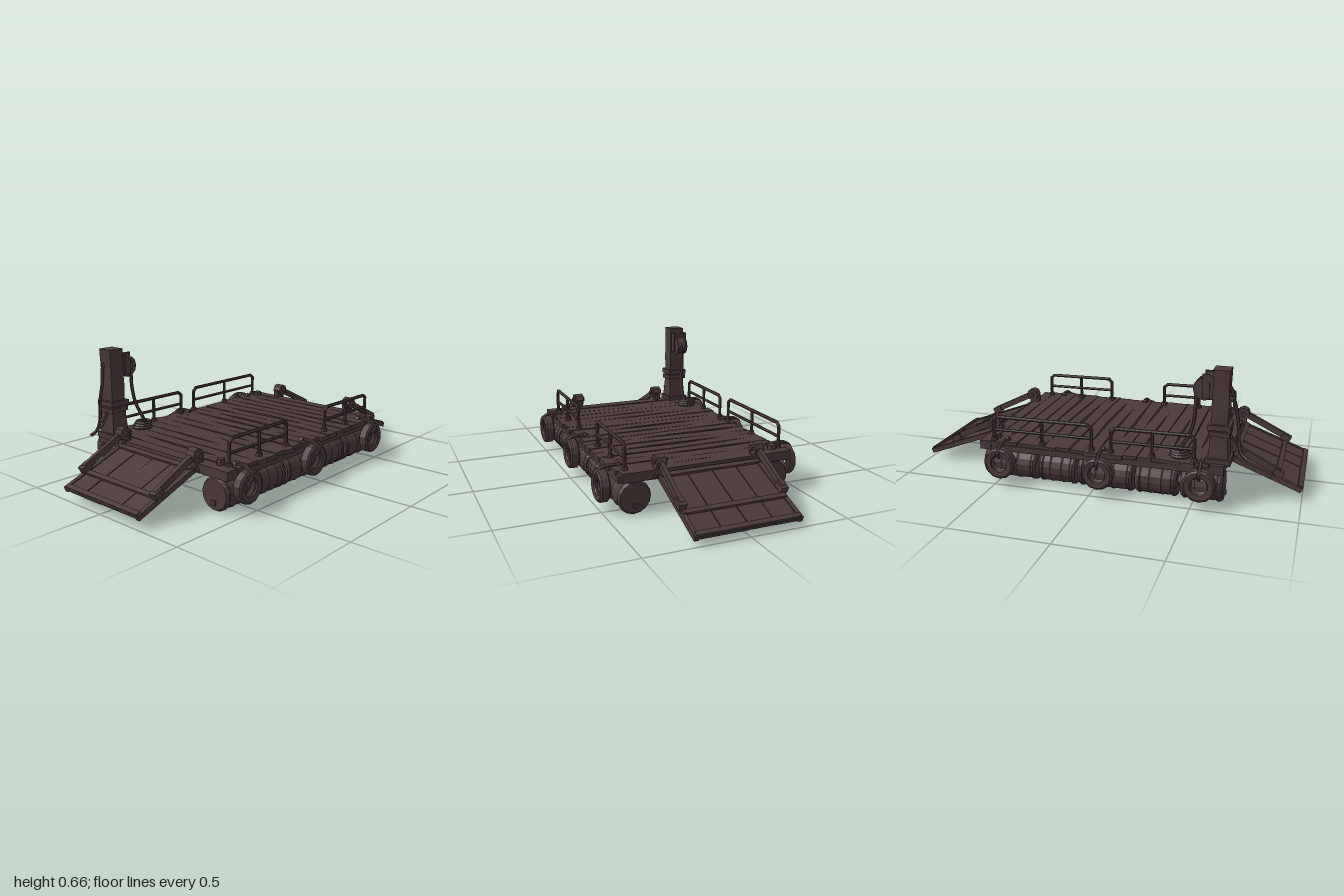
import * as THREE from 'three';

const wood = new THREE.MeshStandardMaterial({ color: 0x4b3939, flatShading: true });
wood.name = 'dark brown';

let seed = 11;
const rand = () => (seed = (seed * 16807) % 2147483647) / 2147483647;
const jitter = (a) => (rand() - 0.5) * 2 * a;
const V = (x, y, z) => new THREE.Vector3(x, y, z);

function add(parent, name, geometry, x = 0, y = 0, z = 0) {
  const m = new THREE.Mesh(geometry, wood);
  m.name = name;
  m.position.set(x, y, z);
  parent.add(m);
  return m;
}
const box = (p, name, w, h, d, x, y, z) => add(p, name, new THREE.BoxGeometry(w, h, d), x, y, z);

// Straight round or square bar between two points
function bar(p, name, a, b, r, sides = 6) {
  const m = add(p, name, new THREE.CylinderGeometry(r, r, a.distanceTo(b), sides));
  m.position.copy(a).add(b).multiplyScalar(0.5);
  m.quaternion.setFromUnitVectors(V(0, 1, 0), b.clone().sub(a).normalize());
  return m;
}
const rope = (p, name, pts, r = 0.008) =>
  add(p, name, new THREE.TubeGeometry(new THREE.CatmullRomCurve3(pts), pts.length * 5, r, 5));

// Worn plank along z: width and side sway vary from section to section
function plank(p, x, width, length, y, thick) {
  const g = new THREE.BoxGeometry(width, thick, length, 1, 1, 6);
  const sway = jitter(0.005), lean = jitter(0.007), pinch = 0.003 + rand() * 0.005, lift = jitter(0.003);
  const pos = g.attributes.position;
  for (let i = 0; i < pos.count; i++) {
    const t = pos.getZ(i) / (length / 2);
    const side = Math.sign(pos.getX(i));
    pos.setX(i, pos.getX(i) - side * pinch * (1 - t * t) + sway * Math.cos(t * 4) + lean * t);
    pos.setY(i, pos.getY(i) + lift * Math.sin(t * 3 + x * 20));
  }
  g.computeVertexNormals();
  add(p, 'deckPlank', g, x, y, jitter(0.012));
}

function buildDeck(root) {
  const deck = new THREE.Group();
  deck.name = 'deck';
  root.add(deck);
  const n = 16, x0 = -0.575, x1 = 0.54, pitch = (x1 - x0) / n;
  for (let i = 0; i < n; i++) plank(deck, x0 + pitch * (i + 0.5), pitch + 0.003, 0.89, 0.2, 0.022);
  // End beams and long bearers
  box(deck, 'endBeam', 0.065, 0.045, 0.9, -0.612, 0.19, 0);
  box(deck, 'endBeam', 0.06, 0.045, 0.88, 0.568, 0.19, -0.01);
  for (const s of [-1, 1]) {
    box(deck, 'sideBeam', 1.2, 0.03, 0.04, -0.02, 0.18, s * 0.425);
    box(deck, 'innerBearer', 1.2, 0.03, 0.03, -0.02, 0.175, s * 0.27);
  }
  // Small deck fittings
  add(deck, 'bollard', new THREE.CylinderGeometry(0.018, 0.022, 0.035, 7), -0.585, 0.225, 0.355);
  add(deck, 'bollard', new THREE.CylinderGeometry(0.022, 0.025, 0.025, 7), 0.535, 0.22, -0.38);
}

// Two rows of floating drums with raised hoops
function buildDrums(root) {
  const spans = [[-0.64, -0.44], [-0.42, -0.215], [-0.2, 0.08], [0.095, 0.29], [0.305, 0.585]];
  for (const s of [-1, 1]) {
    const row = new THREE.Group();
    row.name = 'drumRow';
    root.add(row);
    for (const [a, b] of spans) {
      const L = b - a, profile = [[0, 0], [0.074, 0], [0.082, 0.012], [0.082, 0.022], [0.077, 0.028],
        [0.078, L * 0.32], [0.082, L * 0.36], [0.078, L * 0.4], [0.078, L * 0.62], [0.082, L * 0.66],
        [0.078, L * 0.7], [0.077, L - 0.028], [0.082, L - 0.022], [0.082, L - 0.012], [0.074, L], [0, L]];
      const g = new THREE.LatheGeometry(profile.map(([r, y]) => new THREE.Vector2(r, y)), 16);
      g.rotateZ(-Math.PI / 2);
      add(row, 'drum', g, a, 0.086, s * 0.365).rotation.x = rand();
    }
    bar(row, 'drumAxle', V(-0.63, 0.086, s * 0.365), V(0.58, 0.086, s * 0.365), 0.03);
    for (const x of [-0.643, 0.588]) box(row, 'drumBung', 0.016, 0.022, 0.022, x, 0.05, s * 0.365);
  }
}

// Tyre fenders hung over both long sides
function buildFenders(root) {
  const section = [[0.045, -0.022], [0.07, -0.026], [0.08, -0.018], [0.08, 0.018], [0.07, 0.026],
    [0.045, 0.022], [0.04, 0.014], [0.052, 0], [0.04, -0.014], [0.045, -0.022]];
  for (const s of [-1, 1]) {
    [-0.54, -0.045, 0.465].forEach((x, i) => {
      const z = s * (i === 2 ? 0.488 : 0.477) - (s < 0 ? 0.012 : 0);
      const g = new THREE.LatheGeometry(section.map(([r, y]) => new THREE.Vector2(r, y)), 14);
      g.rotateX(Math.PI / 2);
      add(root, 'tyreFender', g, x, 0.125, z);
      rope(root, 'fenderRope', [V(x, 0.205, s * 0.38), V(x + 0.005, 0.218, s * 0.43), V(x, 0.21, z),
        V(x, 0.18, z + s * 0.033), V(x, 0.155, z + s * 0.015)], 0.009);
      add(root, 'ropeKnot', new THREE.DodecahedronGeometry(0.018), x, 0.213, s * 0.405);
    });
  }
}

// Pipe railing: bent top rail, mid rail and three posts
function railing(root, a, b, z) {
  const g = new THREE.Group();
  g.name = 'railing';
  root.add(g);
  const top = 0.34, r = 0.009, c = 0.02;
  const pts = [V(a, 0.2, z), V(a, top - c, z), V(a + c, top, z), V(b - c, top - 0.004, z), V(b, top - c, z), V(b, 0.2, z)];
  for (let i = 0; i < 5; i++) {
    bar(g, 'railPipe', pts[i], pts[i + 1], r);
    if (i) add(g, 'railBend', new THREE.IcosahedronGeometry(r * 1.1), ...pts[i].toArray());
  }
  const m = (a + b) / 2;
  bar(g, 'midRail', V(a, 0.272, z), V(b, 0.268, z), r * 0.85);
  bar(g, 'midPost', V(m, 0.2, z), V(m, top, z), r);
  for (const x of [a, m, b]) add(g, 'postFoot', new THREE.CylinderGeometry(0.015, 0.018, 0.02, 6), x, 0.217, z);
}

// Lowered loading ramp, built towards +x from its hinge
function ramp(root, side, hingeX, length) {
  const outer = new THREE.Group();
  outer.name = side > 0 ? 'leftRamp' : 'rightRamp';
  outer.rotation.y = side > 0 ? 0 : Math.PI;
  root.add(outer);
  const board = new THREE.Group();
  board.name = 'rampBoard';
  board.position.set(hingeX, 0.185, 0);
  board.rotation.z = -0.36;
  outer.add(board);
  const n = 4, w = 0.5 / n;
  for (let i = 0; i < n; i++)
    box(board, 'rampPlank', length, 0.014, w - 0.004, length / 2, jitter(0.002), -0.25 + w * (i + 0.5)).rotation.y = jitter(0.006);
  for (const t of [0.03, 0.64, 0.965]) box(board, 'rampCleat', 0.025, 0.014, 0.51, length * t, 0.012, 0);
  for (const t of [0.2, 0.75]) box(board, 'rampUnderBatten', 0.03, 0.014, 0.48, length * t, -0.012, 0);
  for (const s of [-1, 1]) {
    const z = s * 0.253;
    box(board, 'rampEdge', length, 0.026, 0.022, length / 2, 0, z);
    // Hinge drum, bracket and folding arm
    const hx = hingeX - 0.008, hy = 0.253;
    bar(outer, 'hingeDrum', V(hx, hy, z - 0.024), V(hx, hy, z + 0.024), 0.034, 8);
    bar(outer, 'hingePin', V(hx, hy, z - 0.036), V(hx, hy, z + 0.036), 0.014, 6);
    box(outer, 'hingeBracket', 0.055, 0.07, 0.032, hx - 0.01, 0.21, z);
    const arm = box(outer, 'rampArm', 0.27, 0.032, 0.02, hx + 0.122, hy - 0.058, z);
    arm.rotation.z = -0.46;
    const block = box(outer, 'armBlock', 0.05, 0.034, 0.036, hx + 0.235, hy - 0.118, z);
    block.rotation.z = -0.46;
  }
  bar(outer, 'hingeRod', V(hingeX - 0.012, 0.18, -0.28), V(hingeX - 0.012, 0.18, 0.28), 0.012);
}

// Mooring mast with pulley, hanging ropes and a coil
function buildMast(root) {
  const mast = new THREE.Group();
  mast.name = 'mast';
  root.add(mast);
  const x = -0.61, z = -0.365;
  const g = new THREE.BoxGeometry(0.078, 0.46, 0.082, 1, 5, 1);
  const pos = g.attributes.position;
  for (let i = 0; i < pos.count; i++) {
    const y = pos.getY(i), k = y < -0.2 ? 1.3 : y < -0.1 ? 1.12 : 1 + 0.04 * Math.sin(y * 30);
    pos.setX(i, pos.getX(i) * k);
    pos.setZ(i, pos.getZ(i) * k);
  }
  g.computeVertexNormals();
  add(mast, 'mastPost', g, x, 0.43, z);
  box(mast, 'mastBand', 0.108, 0.026, 0.112, x, 0.387, z);
  box(mast, 'mastBand', 0.1, 0.024, 0.106, x, 0.355, z).rotation.z = 0.06;
  box(mast, 'mastFoot', 0.12, 0.03, 0.12, x, 0.22, z);
  // Pulley on a side bracket
  bar(mast, 'pulleyWheel', V(-0.532, 0.562, z - 0.022), V(-0.532, 0.562, z + 0.022), 0.046, 12);
  for (const s of [-1, 1]) {
    bar(mast, 'pulleyRim', V(-0.532, 0.562, z + s * 0.022), V(-0.532, 0.562, z + s * 0.03), 0.054, 12);
    box(mast, 'pulleyCheek', 0.034, 0.115, 0.008, -0.54, 0.58, z + s * 0.036);
  }
  box(mast, 'pulleyArm', 0.06, 0.03, 0.07, -0.56, 0.615, z);
  // Ropes down both sides
  rope(mast, 'fallRope', [V(-0.486, 0.565, z), V(-0.488, 0.46, z), V(-0.475, 0.36, z + 0.01),
    V(-0.44, 0.28, z + 0.02), V(-0.4, 0.225, z + 0.01), V(-0.37, 0.215, z)], 0.009);
  rope(mast, 'mooringRope', [V(-0.58, 0.61, z - 0.035), V(-0.645, 0.585, z - 0.02), V(-0.672, 0.5, z),
    V(-0.692, 0.4, z), V(-0.7, 0.3, z), V(-0.715, 0.255, z - 0.01), V(-0.745, 0.235, z - 0.02)], 0.009);
  rope(mast, 'mooringRopeTail', [V(-0.64, 0.37, z), V(-0.69, 0.29, z + 0.012), V(-0.735, 0.262, z + 0.01)], 0.007);
  for (let i = 0; i < 3; i++) {
    const coil = add(mast, 'ropeCoil', new THREE.TorusGeometry(0.046 - i * 0.005, 0.009, 5, 14), -0.425 + i * 0.004, 0.22 + i * 0.011, z);
    coil.rotation.x = Math.PI / 2;
  }
}

export function createModel() {
  seed = 11;
  const root = new THREE.Group();
  root.name = 'raftFerry';
  buildDeck(root);
  buildDrums(root);
  buildFenders(root);
  railing(root, -0.575, -0.165, 0.398);
  railing(root, 0.155, 0.54, 0.398);
  railing(root, -0.5, -0.09, -0.42);
  railing(root, 0.01, 0.53, -0.42);
  ramp(root, 1, 0.607, 0.413);
  ramp(root, -1, 0.655, 0.365);
  buildMast(root);
  return root;
}
